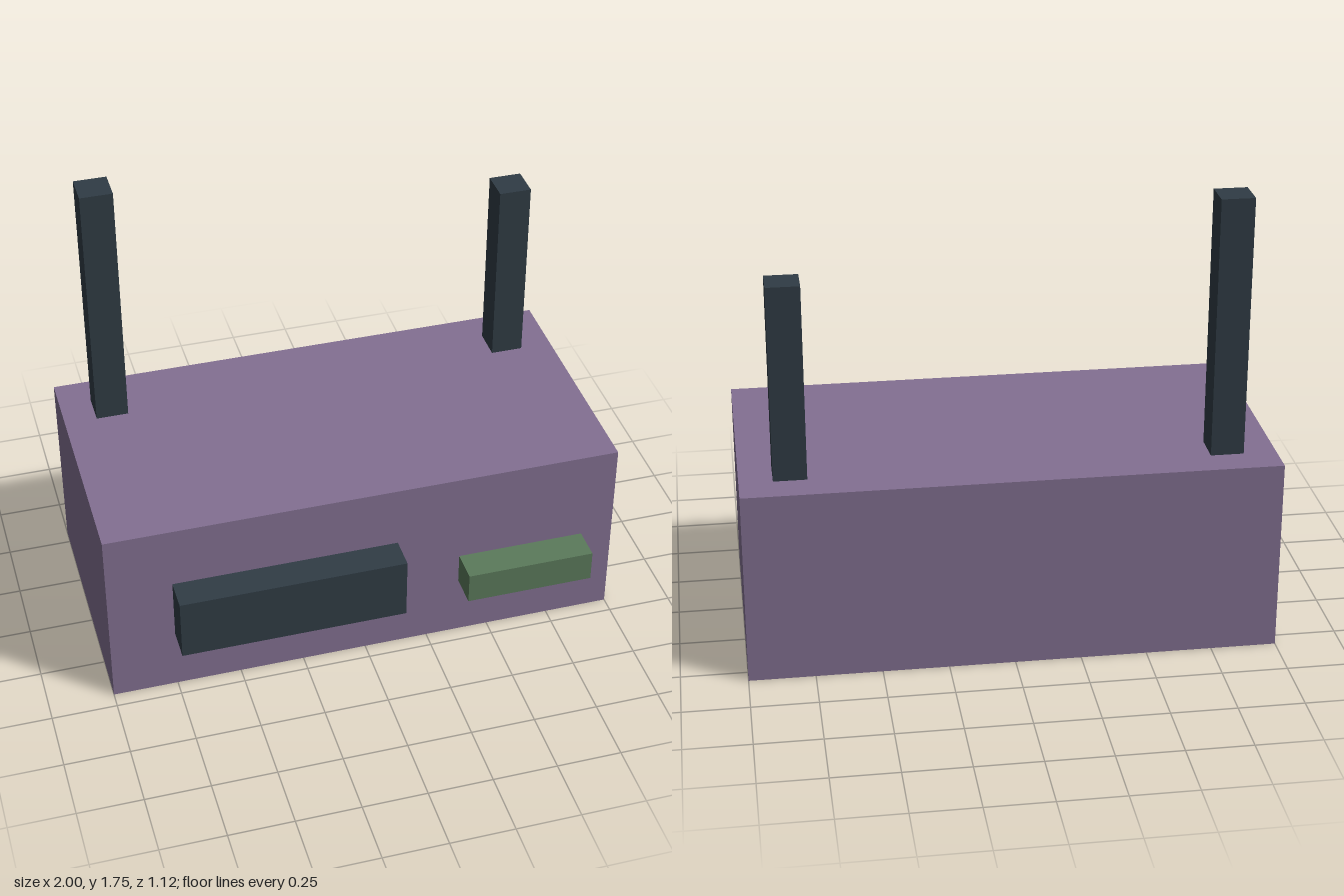
import * as THREE from 'three';

const material = (color) => new THREE.MeshStandardMaterial({ color, flatShading: true });

// Box given by its minimum and maximum corners
function block(name, min, max, mat) {
  const size = max.map((v, i) => v - min[i]);
  const mesh = new THREE.Mesh(new THREE.BoxGeometry(...size), mat);
  mesh.position.set(...max.map((v, i) => (v + min[i]) / 2));
  mesh.name = name;
  return mesh;
}

export function createModel() {
  const purple = material(0x837092);
  const dark = material(0x303c45);
  const green = material(0x5b7a5b);
  const group = new THREE.Group();
  group.name = 'radio';

  const top = 0.75, front = 0.4375, panelFront = 0.5625;

  // Main housing
  group.add(block('body', [-1, 0, -0.5625], [1, top, front], purple));

  // Raised panels on the front face
  group.add(block('display', [-0.75, 0.25, front], [0.125, 0.5, panelFront], dark));
  group.add(block('button', [0.375, 0.25, front], [0.875, 0.375, panelFront], green));

  // Two upright antennas at the back, the right one taller
  for (const [name, x, tip] of [['rightAntenna', -0.875, 1.75], ['leftAntenna', 0.75, 1.5]]) {
    group.add(block(name, [x, top, -0.4375], [x + 0.125, tip, -0.3125], dark));
  }

  return group;
}
